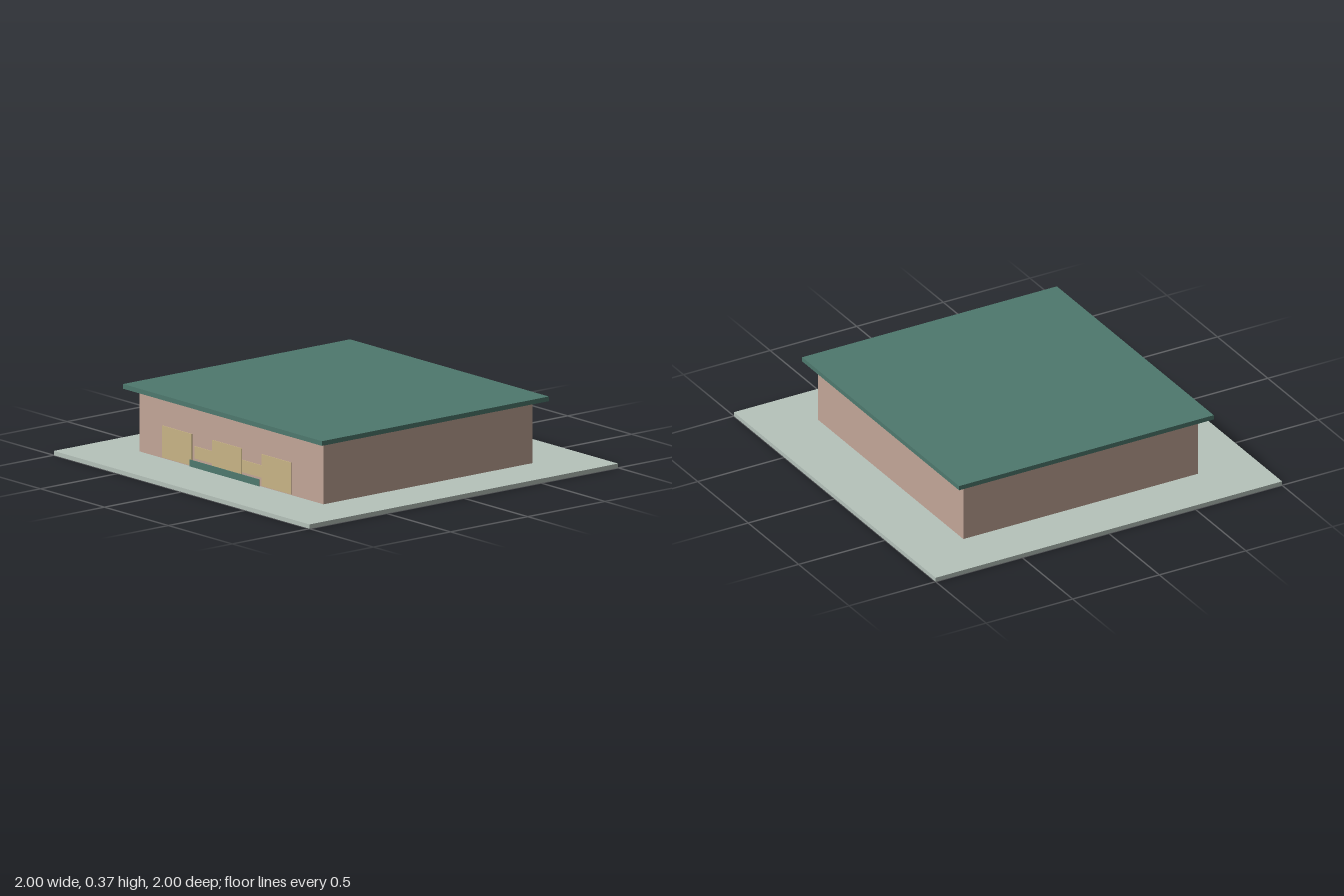
import * as THREE from 'three';

const mat = (name, color) => {
  const m = new THREE.MeshStandardMaterial({ color });
  m.name = name;
  return m;
};

export function createModel() {
  const group = new THREE.Group();
  const paving = mat('pale grey green', 0xb6c3bb);
  const plaster = mat('dusty pink', 0xc3a698);
  const green = mat('deep green', 0x4e796e);
  const sand = mat('sand', 0xc9b586);

  // Box placed by its centre in x and z and its bottom and top in y
  const box = (name, material, w, d, y0, y1, x = 0, z = 0) => {
    const mesh = new THREE.Mesh(new THREE.BoxGeometry(w, y1 - y0, d), material);
    mesh.position.set(x, (y0 + y1) / 2, z);
    mesh.name = name;
    group.add(mesh);
    return mesh;
  };

  // Ground slab, building and overhanging flat roof
  box('groundSlab', paving, 2, 2, 0, 0.022);
  box('walls', plaster, 1.44, 1.354, 0.022, 0.342);
  box('roof', green, 1.556, 1.47, 0.342, 0.366);

  // Layered panels standing just off the front wall
  for (const x of [-0.39, 0, 0.388]) {
    box('frontPanel', sand, 0.232, 0.004, 0.037, 0.2, x, 0.706);
  }
  box('rearPanel', sand, 0.545, 0.004, 0.072, 0.135, 0, 0.688);
  box('frontSill', green, 0.545, 0.004, 0.037, 0.072, 0, 0.722);

  // Small plates under the eaves, centred on each wall
  for (const s of [-1, 1]) {
    box('eavesPlateZ', green, 0.02, 0.004, 0.326, 0.342, 0, s * 0.679);
    box('eavesPlateX', green, 0.004, 0.02, 0.326, 0.342, s * 0.722, 0);
  }
  return group;
}
